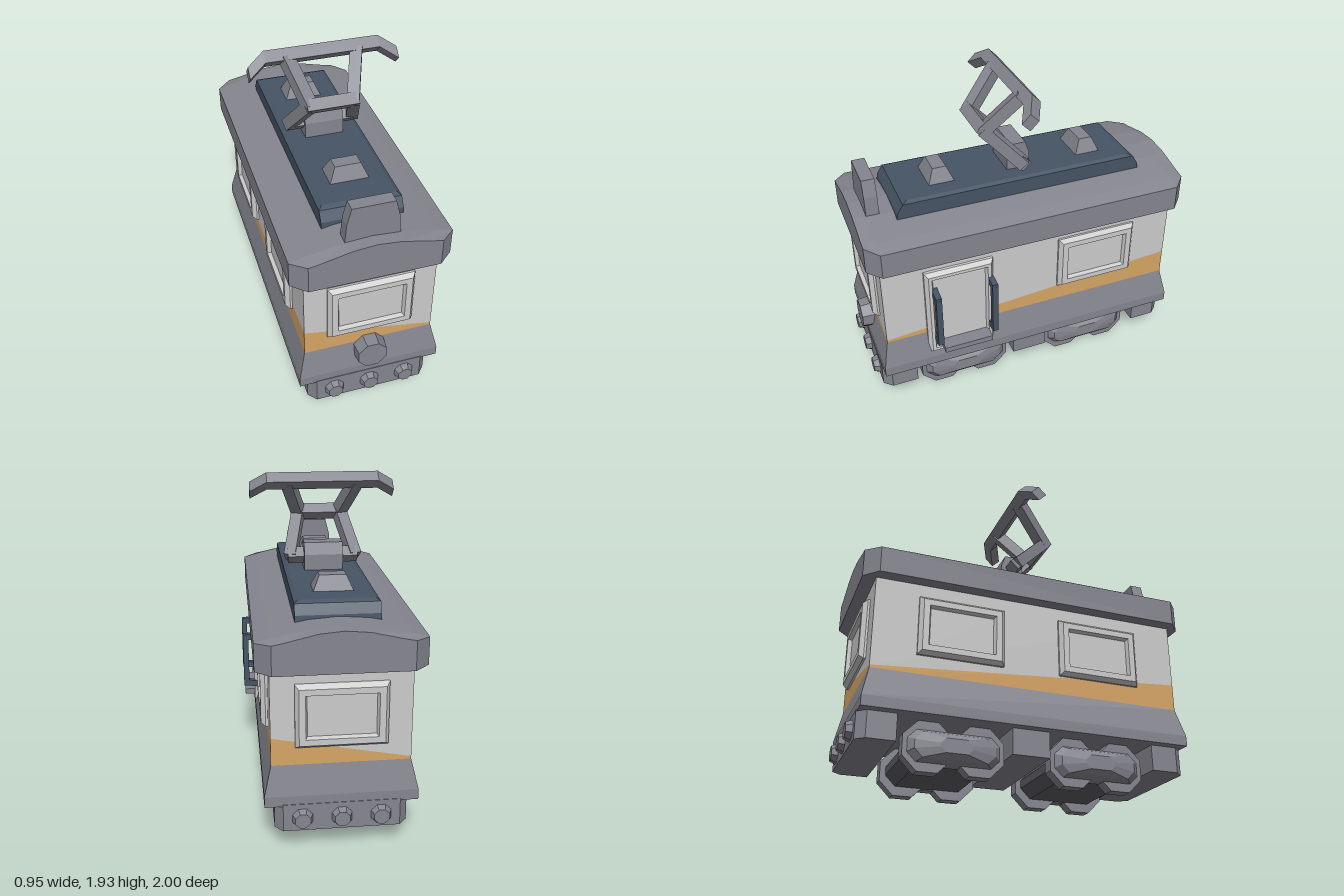
import * as THREE from 'three';

const mat = (color) => new THREE.MeshStandardMaterial({ color, flatShading: true });

export function createModel() {
  const wall = mat(0xcccccc), grey = mat(0x85858f), navy = mat(0x465464);
  const orange = mat(0xd6a565), dark = mat(0x5c5c64);
  const root = new THREE.Group();
  root.name = 'tram';

  const add = (name, geo, material, x = 0, y = 0, z = 0, parent = root) => {
    const m = new THREE.Mesh(geo, material);
    m.name = name;
    m.position.set(x, y, z);
    parent.add(m);
    return m;
  };
  const box = (name, w, h, d, material, x, y, z, parent) =>
    add(name, new THREE.BoxGeometry(w, h, d), material, x, y, z, parent);

  // Skin over cross-sections with capped ends; corners run counter-clockwise seen from the last one
  const loft = (sections) => {
    const pos = [], n = sections[0].length;
    const tri = (a, b, c) => pos.push(...a, ...b, ...c);
    for (let s = 0; s < sections.length - 1; s++) {
      const a = sections[s], b = sections[s + 1];
      for (let i = 0; i < n; i++) {
        const j = (i + 1) % n;
        tri(a[i], a[j], b[j]);
        tri(a[i], b[j], b[i]);
      }
    }
    const first = sections[0], last = sections[sections.length - 1];
    for (let i = 1; i < n - 1; i++) {
      tri(first[0], first[i + 1], first[i]);
      tri(last[0], last[i], last[i + 1]);
    }
    const g = new THREE.BufferGeometry();
    g.setAttribute('position', new THREE.Float32BufferAttribute(pos, 3));
    g.computeVertexNormals();
    return g;
  };
  // Horizontal rectangle; the second height serves alternate corners
  const flat = (hx, hz, y, y2 = y) => [[hx, y, hz], [hx, y2, -hz], [-hx, y, -hz], [-hx, y2, hz]];
  const upright = (hx, hy, z) => [[-hx, -hy, z], [hx, -hy, z], [hx, hy, z], [-hx, hy, z]];

  // Body: flared skirt, wedge-shaped colour band and upper walls
  add('skirt', loft([flat(0.42, 0.957, 0.28), flat(0.42, 0.957, 0.34), flat(0.38, 0.92, 0.51)]), grey);
  add('stripe', loft([flat(0.38, 0.92, 0.51), flat(0.38, 0.92, 0.525, 0.67)]), orange);
  add('walls', loft([flat(0.38, 0.92, 0.525, 0.67), flat(0.38, 0.92, 1.06)]), wall);

  // Arched roof with clipped corners
  const roofSection = (hw, z, edge) => [
    [-hw, 1.05, z], [hw, 1.05, z], [hw, edge, z], [hw * 0.82, 1.228, z], [hw * 0.36, 1.268, z],
    [0, 1.28, z], [-hw * 0.36, 1.268, z], [-hw * 0.82, 1.228, z], [-hw, edge, z]];
  add('roof', loft([roofSection(0.37, -0.995, 1.215), roofSection(0.455, -0.915, 1.205),
    roofSection(0.455, 0.915, 1.205), roofSection(0.37, 0.99, 1.215)]), grey);

  // Raised roof deck, vents and front sign box
  add('roofDeck', loft([flat(0.232, 0.76, 1.25), flat(0.232, 0.755, 1.29),
    flat(0.232, 0.72, 1.345), flat(0.21, 0.69, 1.357)]), navy);
  for (const z of [0.455, -0.47])
    add('roofVent', loft([flat(0.115, 0.08, 1.35), flat(0.075, 0.04, 1.44)]), grey, 0, 0, z);
  add('signBox', loft([flat(0.155, 0.038, 1.25), flat(0.145, 0.038, 1.38), flat(0.12, 0.038, 1.48)]),
    grey, 0, 0, 0.877);

  // Bevelled frame with a recessed pane, facing +z before turning
  const panel = (name, w, h, x, y, z, turn, rim = 0.055) => {
    const g = loft([upright(w / 2, h / 2, -0.02), upright(w / 2, h / 2, 0.012),
      upright(w / 2 - 0.02, h / 2 - 0.02, 0.038), upright(w / 2 - rim, h / 2 - rim, 0.038),
      upright(w / 2 - rim - 0.01, h / 2 - rim - 0.01, 0.014)]);
    add(name, g, wall, x, y, z).rotation.y = turn;
  };
  panel('frontWindow', 0.5, 0.36, 0, 0.795, 0.92, 0);
  panel('backWindow', 0.5, 0.36, 0, 0.795, -0.92, Math.PI);
  panel('leftWindow', 0.5, 0.35, 0.38, 0.795, -0.42, Math.PI / 2);
  for (const z of [0.42, -0.42])
    panel('rightWindow', 0.5, 0.35, -0.38, 0.795, z, -Math.PI / 2);

  // Door with step and two grab handles
  panel('door', 0.42, 0.6, 0.385, 0.665, 0.465, Math.PI / 2, 0.04);
  box('doorStep', 0.12, 0.035, 0.3, grey, 0.425, 0.423, 0.445);
  for (const z of [0.62, 0.277]) {
    const handle = new THREE.Group();
    handle.name = 'doorHandle';
    handle.position.z = z;
    root.add(handle);
    box('grip', 0.035, 0.32, 0.035, navy, 0.475, 0.66, 0, handle);
    for (const s of [-1, 1]) {
      const g = loft([[[0, -0.02, -0.0175], [0, -0.02, 0.0175], [0, 0.02, 0.0175], [0, 0.02, -0.0175]].map(
        ([, y, w]) => [0.37, 0.66 + s * 0.172 + y, w]).reverse(),
      [[0, -0.02, -0.0175], [0, -0.02, 0.0175], [0, 0.02, 0.0175], [0, 0.02, -0.0175]].map(
        ([, y, w]) => [0.492, 0.66 + s * 0.158 + y, w]).reverse()]);
      add('bracket', g, navy, 0, 0, 0, handle);
    }
  }

  // Octagonal drum along z
  const drum = (name, r0, r1, len, x, y, z, sides = 8) => {
    const g = new THREE.CylinderGeometry(r1, r0, len, sides);
    g.rotateY(Math.PI / sides);
    g.rotateX(Math.PI / 2);
    return add(name, g, grey, x, y, z);
  };
  drum('headlight', 0.1, 0.09, 0.1, 0, 0.455, 0.95);

  // End beams with three buffers each, and the centre equipment box
  for (const s of [1, -1]) {
    const beam = [[0.75, 0.365], [0.91, 0.365], [0.96, 0.32]].map(([z, hw]) => upright(hw, 0.08, z));
    add('endBeam', loft(beam), grey, 0, 0.21, 0).rotation.y = s > 0 ? 0 : Math.PI;
    for (const x of [-0.215, 0, 0.215]) {
      const b = drum('buffer', 0.075, 0.045, 0.07, x, 0.205, s * 0.96);
      if (s < 0) b.rotation.y = Math.PI;
    }
  }
  box('centreBox', 0.73, 0.16, 0.22, grey, 0, 0.21, 0);

  // Bogies: octagonal wheels, side frames with bearing covers, and a dark inner housing
  const slab = (hz, hy, cut, x) => [[-hz + cut, -hy], [-hz, -hy + cut], [-hz, hy - cut], [-hz + cut, hy],
    [hz - cut, hy], [hz, hy - cut], [hz, -hy + cut], [hz - cut, -hy]].map(([z, y]) => [x, y, z]).reverse();
  const across = (sections) => {
    const g = loft(sections);
    return g;
  };
  for (const z of [0.42, -0.42]) {
    const bogie = new THREE.Group();
    bogie.name = 'bogie';
    bogie.position.set(0, 0.14, z);
    root.add(bogie);
    add('innerHousing', across([slab(0.25, 0.085, 0.06, 0.25), slab(0.25, 0.085, 0.06, -0.25)].reverse()
      .map((p) => p.slice().reverse())), dark, 0, 0, 0, bogie);
    for (const s of [-1, 1]) {
      for (const wz of [-0.145, 0.145]) {
        const g = new THREE.CylinderGeometry(0.15, 0.15, 0.075, 8);
        g.rotateY(Math.PI / 8);
        g.rotateZ(Math.PI / 2);
        add('wheel', g, grey, s * 0.265, 0, wz, bogie);
      }
      const frame = add('sideFrame', across([slab(0.26, 0.09, 0.05, 0.24), slab(0.26, 0.09, 0.05, 0.3),
        slab(0.225, 0.07, 0.045, 0.335), slab(0.09, 0.04, 0.03, 0.36)].map((p) => p.slice().reverse())),
      grey, 0, 0, 0, bogie);
      if (s < 0) frame.rotation.y = Math.PI;
    }
  }

  // Pantograph: base, folded arms, crossbar and collector with drooping ends
  const arm = (name, a, b, t = 0.07) => {
    const from = new THREE.Vector3(...a), to = new THREE.Vector3(...b);
    const m = new THREE.Mesh(new THREE.BoxGeometry(t, t, from.distanceTo(to)), grey);
    m.name = name;
    m.position.copy(from).lerp(to, 0.5);
    m.lookAt(to);
    root.add(m);
  };
  add('pantographBase', loft([flat(0.115, 0.07, 1.34), flat(0.115, 0.07, 1.45), flat(0.115, 0.045, 1.52)]),
    grey, 0, 0, -0.015);
  box('basePivot', 0.42, 0.07, 0.07, grey, 0, 1.435, -0.01).rotation.x = Math.PI / 4;
  for (const s of [-1, 1]) {
    arm('lowerArm', [s * 0.195, 1.425, -0.02], [s * 0.125, 1.665, 0.205]);
    arm('upperArm', [s * 0.125, 1.655, 0.2], [s * 0.205, 1.875, 0]);
  }
  box('crossbar', 0.3, 0.07, 0.07, grey, 0, 1.66, 0.2).rotation.x = Math.PI / 4;
  const diamond = (x, y, z) => [[x, y, z - 0.05], [x, y + 0.05, z], [x, y, z + 0.05], [x, y - 0.05, z]];
  add('collector', loft([diamond(-0.43, 1.82, 0.045), diamond(-0.33, 1.88, -0.005),
    diamond(0.33, 1.88, -0.005), diamond(0.43, 1.82, 0.045)]), grey);

  root.position.x = -0.02;
  const model = new THREE.Group();
  model.name = 'model';
  model.add(root);
  return model;
}
